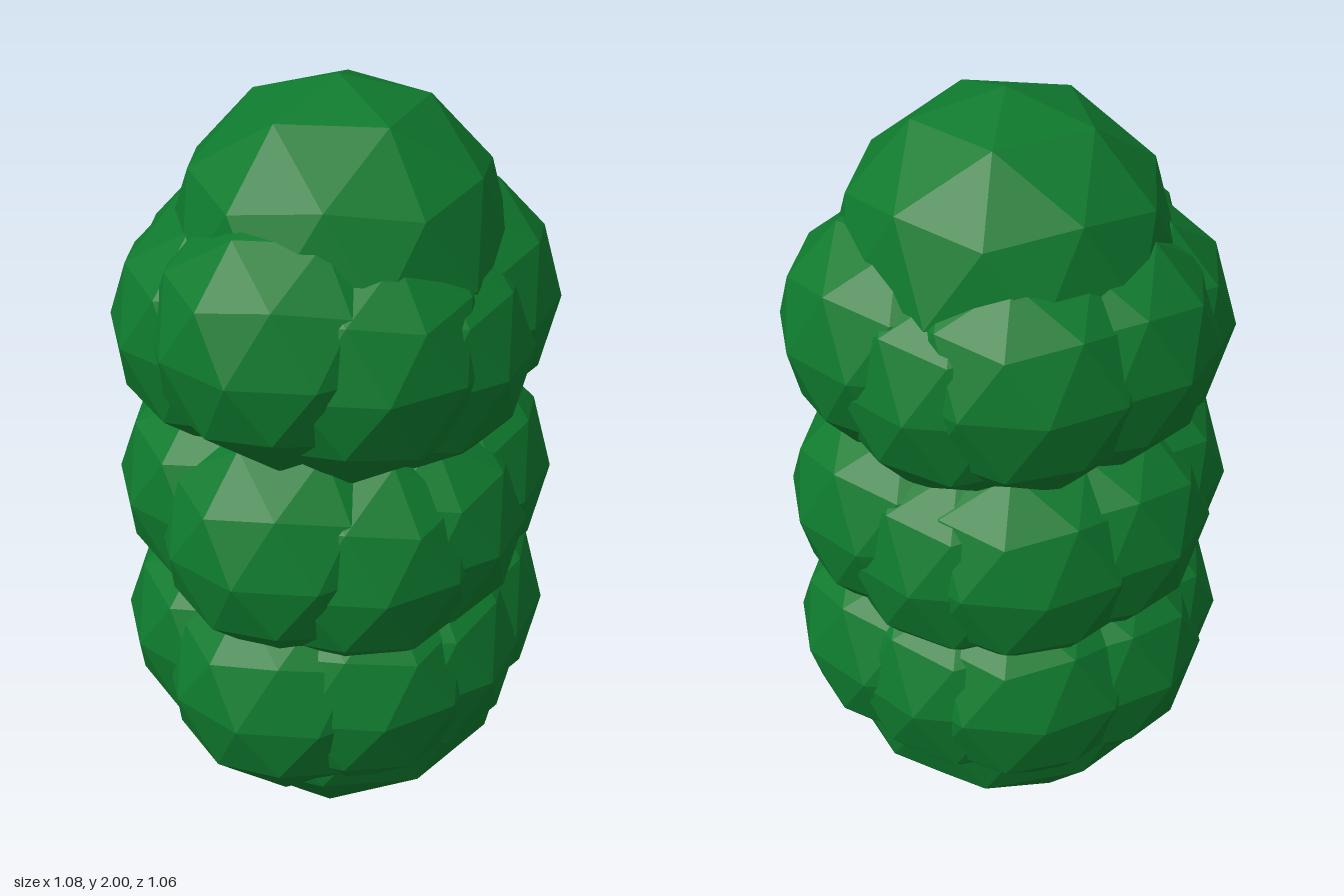
import * as THREE from 'three';

// Faceted ball with one corner pointing straight up
function ballGeometry(radius) {
  const geometry = new THREE.IcosahedronGeometry(radius, 1);
  geometry.rotateZ(-Math.atan(2 / (1 + Math.sqrt(5))));
  geometry.computeVertexNormals();
  return geometry;
}

export function createModel() {
  const model = new THREE.Group();
  const leafMaterial = new THREE.MeshStandardMaterial({ color: 0x0f7a2e, flatShading: true });
  const trunkMaterial = new THREE.MeshStandardMaterial({ color: 0x1a0808, flatShading: true });

  function add(name, geometry, material, x, y, z, parent = model) {
    const mesh = new THREE.Mesh(geometry, material);
    mesh.name = name;
    mesh.position.set(x, y, z);
    parent.add(mesh);
  }

  // Large ball at the base and the crown on top
  add('baseFoliage', ballGeometry(0.475), leafMaterial, 0, 0.477, 0);
  add('crownFoliage', ballGeometry(0.418), leafMaterial, 0, 1.582, 0);

  // Three rings of eight clumps: x, z, then the height in each ring
  const clumps = [
    [0.225, -0.018, [0.54, 0.95, 1.43]],
    [0.116, 0.133, [0.52, 0.9, 1.38]],
    [0, 0.195, [0.515, 0.88, 1.41]],
    [-0.16, 0.168, [0.5, 0.92, 1.45]],
    [-0.23, -0.018, [0.55, 0.97, 1.4]],
    [-0.16, -0.138, [0.52, 0.93, 1.42]],
    [0, -0.2, [0.525, 0.915, 1.415]],
    [0.116, -0.138, [0.52, 0.9, 1.38]],
  ];
  const clump = ballGeometry(0.33);
  ['lowerRing', 'middleRing', 'upperRing'].forEach((name, i) => {
    const ring = new THREE.Group();
    ring.name = name;
    for (const [x, z, heights] of clumps) {
      add('foliageClump', clump, leafMaterial, x, heights[i], z, ring);
    }
    model.add(ring);
  });

  // Short trunk stub under the base
  add('trunk', new THREE.CylinderGeometry(0.127, 0.127, 0.04, 16), trunkMaterial, -0.01, 0.035, 0);

  return model;
}
